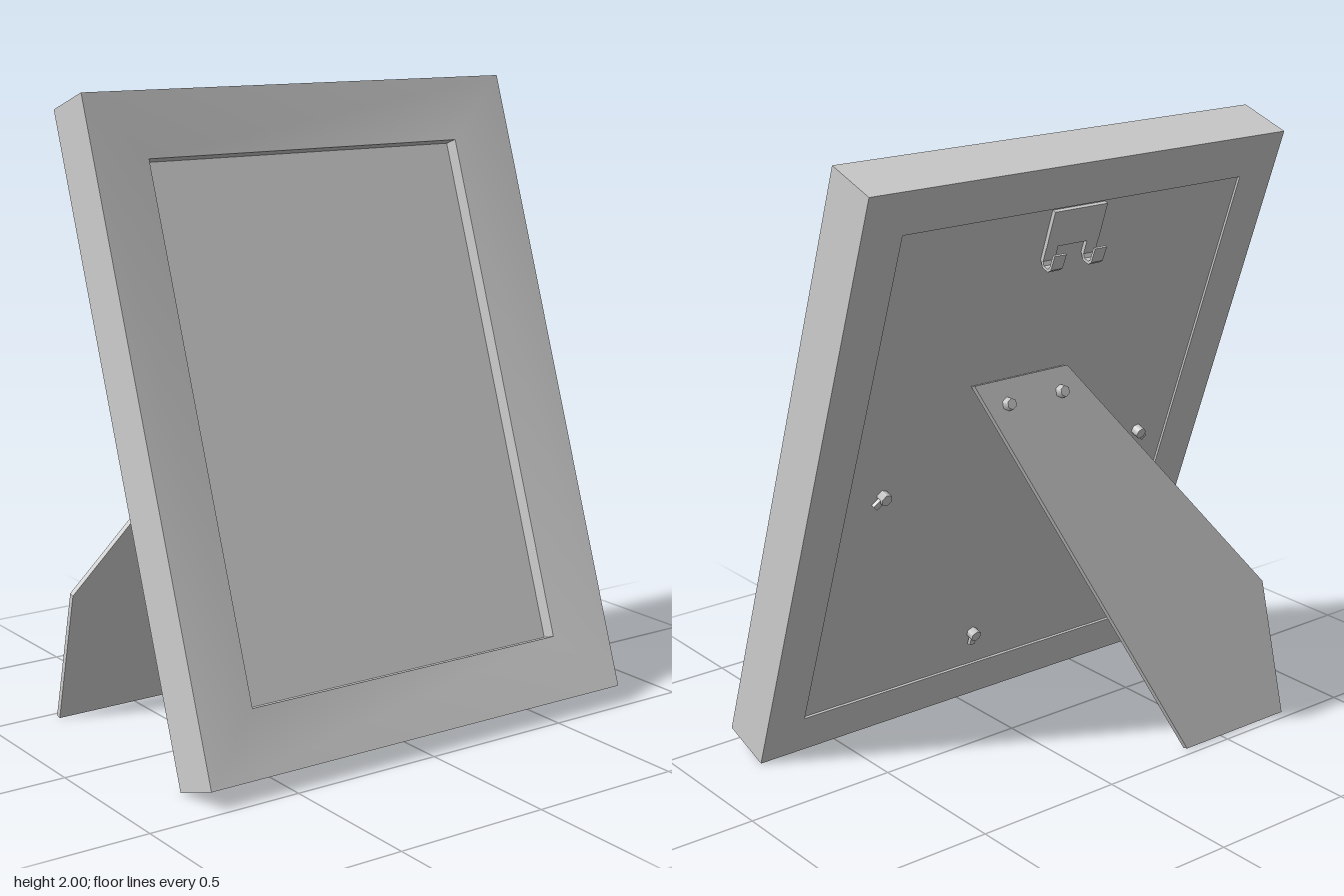
import * as THREE from 'three';
import { toCreasedNormals } from 'three/addons/utils/BufferGeometryUtils.js';

const W = 1.56, H = 2.053, TILT = 0.333;
const gray = new THREE.MeshStandardMaterial({ color: 0xcccccc });
gray.name = 'plainGray';

function add(parent, name, geometry, x = 0, y = 0, z = 0) {
  const mesh = new THREE.Mesh(geometry, gray);
  mesh.name = name;
  mesh.position.set(x, y, z);
  parent.add(mesh);
  return mesh;
}

// Mitred moulding: a closed (inset, depth) profile carried round the rectangle
function moulding(profile) {
  const corners = [[-1, 0], [1, 0], [1, 1], [-1, 1]];
  const pos = [], index = [], n = profile.length;
  for (const [sx, top] of corners)
    for (const [inset, depth] of profile)
      pos.push(sx * (W / 2 - inset), top ? H - inset : inset, depth);
  for (let c = 0; c < 4; c++)
    for (let i = 0; i < n; i++) {
      const j = (i + 1) % n, d = (c + 1) % 4;
      const a = c * n + i, b = d * n + i, e = d * n + j, f = c * n + j;
      index.push(a, b, e, a, e, f);
    }
  const g = new THREE.BufferGeometry();
  g.setAttribute('position', new THREE.Float32BufferAttribute(pos, 3));
  g.setIndex(index);
  return toCreasedNormals(g, 0.5);
}

function extrude(points, depth) {
  const shape = new THREE.Shape(points.map(p => new THREE.Vector2(...p)));
  return new THREE.ExtrudeGeometry(shape, { depth, bevelEnabled: false });
}

// Small turn fastener: hexagonal head with a tab, pointing backwards
function fastener(parent, name, x, y, angle) {
  const g = new THREE.Group();
  g.name = name;
  g.position.set(x, y, 0);
  g.rotation.z = angle;
  add(g, 'fastenerHead', new THREE.CylinderGeometry(0.02, 0.02, 0.03, 6), 0, 0, -0.005).rotation.x = Math.PI / 2;
  add(g, 'fastenerTab', new THREE.BoxGeometry(0.022, 0.045, 0.012), 0, -0.02, -0.004);
  parent.add(g);
}

export function createModel() {
  const model = new THREE.Group();
  model.name = 'pictureFrame';

  // Everything on the leaning frame; origin at its bottom back edge
  const body = new THREE.Group();
  body.name = 'leaningFrame';
  body.position.z = 0.3;
  body.rotation.x = -TILT;
  model.add(body);

  add(body, 'frameMoulding', moulding([
    [0, 0], [0, 0.182], [0.202, 0.152], [0.202, 0.105], [0.14, 0.105], [0.14, 0],
  ]));
  add(body, 'picturePanel', new THREE.BoxGeometry(W - 0.28, H - 0.28, 0.097), 0, H / 2, 0.0565);

  // Fasteners holding the back panel
  fastener(body, 'fastenerLeft', 0.51, 0.987, 0.8);
  fastener(body, 'fastenerRight', -0.51, 0.987, -0.8);
  fastener(body, 'fastenerBottom', 0, 0.285, 0);

  // Wall hanger: flat plate with two upturned hooks
  const hanger = new THREE.Group();
  hanger.name = 'wallHanger';
  hanger.position.y = 1.72;
  body.add(hanger);
  add(hanger, 'hangerPlate', new THREE.BoxGeometry(0.2, 0.12, 0.014), 0, 0.125, 0.002);
  const hook = [
    [0.008, 0.07], [0.008, 0.02], [-0.008, 0], [-0.034, 0], [-0.044, 0.012], [-0.046, 0.06],
    [-0.038, 0.06], [-0.036, 0.016], [-0.03, 0.009], [-0.012, 0.009], [-0.004, 0.02], [-0.004, 0.07],
  ];
  for (const s of [-1, 1]) {
    const m = add(hanger, 'hangerHook', extrude(hook.map(([z, y]) => [-z, y]), 0.045));
    m.rotation.y = Math.PI / 2;
    m.position.x = s * 0.0775 - 0.0225;
  }

  // Slanted easel leg, cut so it can also stand on its side edge
  const leg = new THREE.Group();
  leg.name = 'easelLeg';
  leg.position.set(0, 0.004, -0.474);
  leg.rotation.x = 0.253;
  model.add(leg);
  add(leg, 'legBoard', extrude([
    [-0.775, 0], [-0.345, 0], [0.26, 1.3], [-0.1, 1.3], [-0.775, 0.45],
  ], 0.018));

  // Hinge rivets
  for (const x of [0.148, -0.06]) {
    const r = add(leg, 'hingeRivet', new THREE.CylinderGeometry(0.018, 0.022, 0.024, 6), x, 1.225, -0.01);
    r.rotation.x = -Math.PI / 2;
  }
  return model;
}
